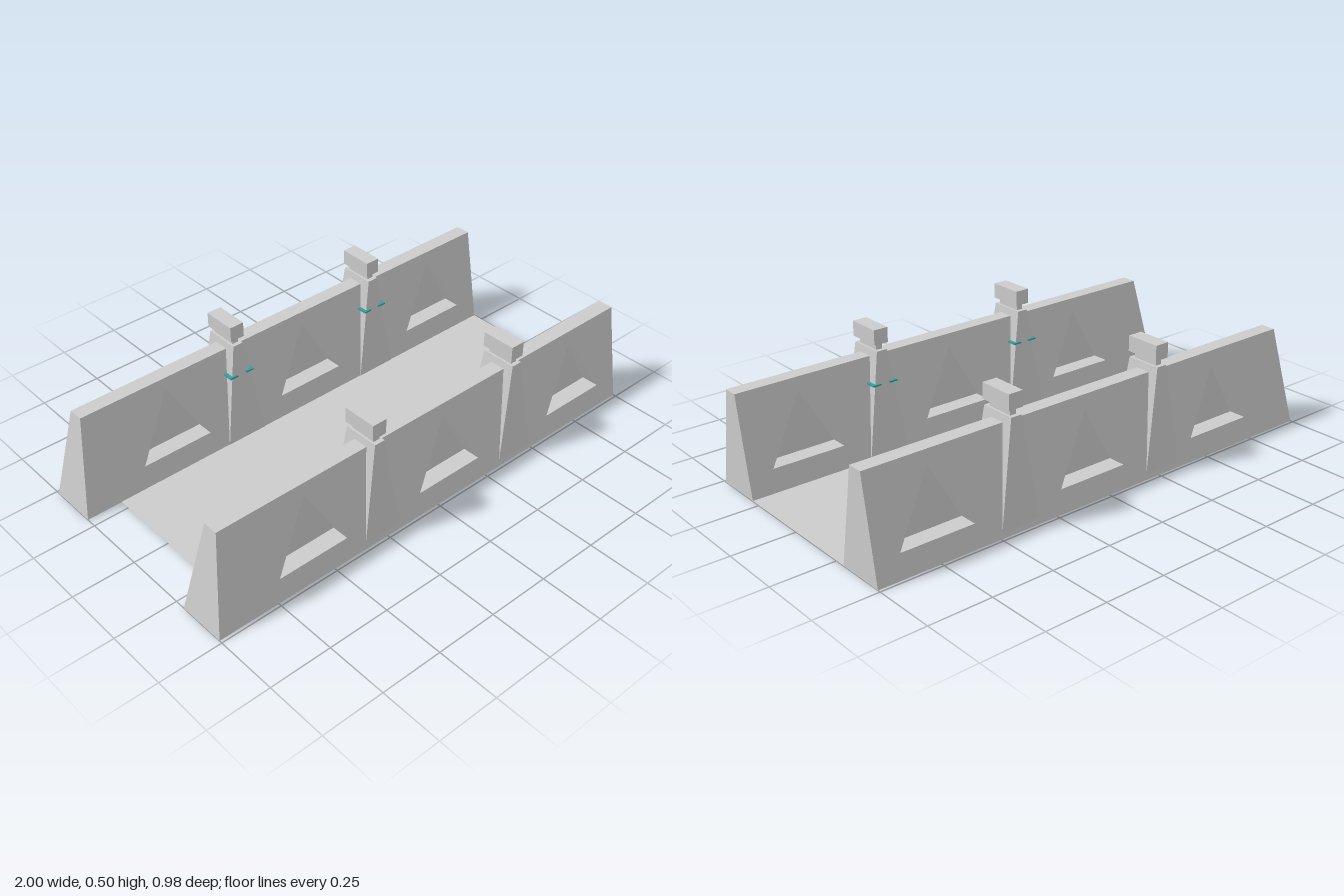
import * as THREE from 'three';

const GREY = new THREE.MeshStandardMaterial({ color: 0xcccccc, flatShading: true, side: THREE.DoubleSide });
const TEAL = new THREE.MeshStandardMaterial({ color: 0x2f9fa0 });

const WALL_H = 0.39;
const WALL_Z = 0.39;
const RECESS_X = [-0.58, 0.07, 0.75];
const PILLAR_X = [-0.27, 0.41];
const BACK_Z = 0.012; // recess back plane, measured from the wall's middle

// Half thickness of the tapering wall at height y
const halfZ = (y) => 0.098 - 0.068 * (y / WALL_H);

const recessOutline = (x) => [[x - 0.15, 0.09], [x + 0.15, 0.09], [x, 0.35]];
const toVec2 = (pts) => pts.map(([x, y]) => new THREE.Vector2(x, y));

function named(geometry, name, material = GREY) {
  const mesh = new THREE.Mesh(geometry, material);
  mesh.name = name;
  return mesh;
}

// Geometry from a list of polygons (fans of [x, y, z] corners)
function polygons(list, flip = false) {
  const pos = [];
  for (const p of list) {
    for (let i = 1; i < p.length - 1; i++) {
      const tri = flip ? [p[0], p[i + 1], p[i]] : [p[0], p[i], p[i + 1]];
      tri.forEach((v) => pos.push(...v));
    }
  }
  const g = new THREE.BufferGeometry();
  g.setAttribute('position', new THREE.Float32BufferAttribute(pos, 3));
  g.computeVertexNormals();
  return g;
}

// One sloping wall face with triangular recesses; s = 1 faces +z, -1 faces -z
function wallFace(s) {
  const shape = new THREE.Shape(toVec2([[-1, 0], [1, 0], [1, WALL_H], [-0.935, WALL_H]]));
  const faces = [];
  for (const x of RECESS_X) {
    const outline = recessOutline(x);
    shape.holes.push(new THREE.Path(toVec2(outline)));
    faces.push(outline.map(([px, py]) => [px, py, s * BACK_Z]));
    outline.forEach(([ax, ay], i) => {
      const [bx, by] = outline[(i + 1) % 3];
      faces.push([
        [ax, ay, s * halfZ(ay)], [bx, by, s * halfZ(by)],
        [bx, by, s * BACK_Z], [ax, ay, s * BACK_Z],
      ]);
    });
  }
  const p = new THREE.ShapeGeometry(shape).toNonIndexed().attributes.position;
  for (let i = 0; i < p.count; i += 3) {
    faces.push([0, 1, 2].map((k) => [p.getX(i + k), p.getY(i + k), s * halfZ(p.getY(i + k))]));
  }
  return polygons(faces, s < 0);
}

// Top and both ends of the wall; the underside is open
function wallCap() {
  const b = halfZ(0), t = halfZ(WALL_H), h = WALL_H, l = -0.935;
  return polygons([
    [[l, h, t], [1, h, t], [1, h, -t], [l, h, -t]],
    [[1, 0, b], [1, 0, -b], [1, h, -t], [1, h, t]],
    [[-1, 0, -b], [-1, 0, b], [l, h, t], [l, h, -t]],
  ]);
}

// Tapered pillar shaft without a bottom face
function shaftGeometry(w0, d0, w1, d1, h) {
  const g = new THREE.BoxGeometry(1, h, 1).translate(0, h / 2, 0);
  const p = g.attributes.position;
  for (let i = 0; i < p.count; i++) {
    const top = p.getY(i) > h / 2;
    p.setX(i, p.getX(i) * (top ? w1 : w0));
    p.setZ(i, p.getZ(i) * (top ? d1 : d0));
  }
  const index = Array.from(g.index.array);
  index.splice(18, 6);
  g.setIndex(index);
  g.computeVertexNormals();
  return g;
}

// inner = z direction towards the roadway
function pillar(inner) {
  const group = new THREE.Group();
  group.name = 'pillar';
  group.add(named(shaftGeometry(0.172, 0.195, 0.044, 0.142, 0.418), 'pillarShaft'));
  group.add(named(new THREE.BoxGeometry(0.026, 0.03, 0.108).translate(0, 0.43, 0), 'pillarNeck'));
  group.add(named(new THREE.BoxGeometry(0.06, 0.06, 0.138).translate(0, 0.473, 0), 'pillarCap'));
  // Pair of thin lights wrapping the inner corners
  for (const side of [-1, 1]) {
    const light = named(new THREE.BoxGeometry(0.035, 0.006, 0.045), 'pillarLight', TEAL);
    light.position.set(side * 0.037, 0.291, inner * 0.0645);
    group.add(light);
  }
  return group;
}

export function createModel() {
  const model = new THREE.Group();
  model.name = 'bridgeSection';

  const deck = named(new THREE.PlaneGeometry(1.855, 0.59).rotateX(-Math.PI / 2), 'deck');
  deck.position.set(0.0725, 0.001, 0);
  model.add(deck);

  for (const s of [1, -1]) {
    const parapet = new THREE.Group();
    parapet.name = s > 0 ? 'frontParapet' : 'backParapet';
    parapet.position.z = s * WALL_Z;
    parapet.add(named(wallFace(1), 'wallFrontFace'));
    parapet.add(named(wallFace(-1), 'wallBackFace'));
    parapet.add(named(wallCap(), 'wallTopAndEnds'));
    for (const x of PILLAR_X) {
      const p = pillar(-s);
      p.position.set(x, 0, -s * 0.002);
      parapet.add(p);
    }
    model.add(parapet);
  }
  return model;
}
